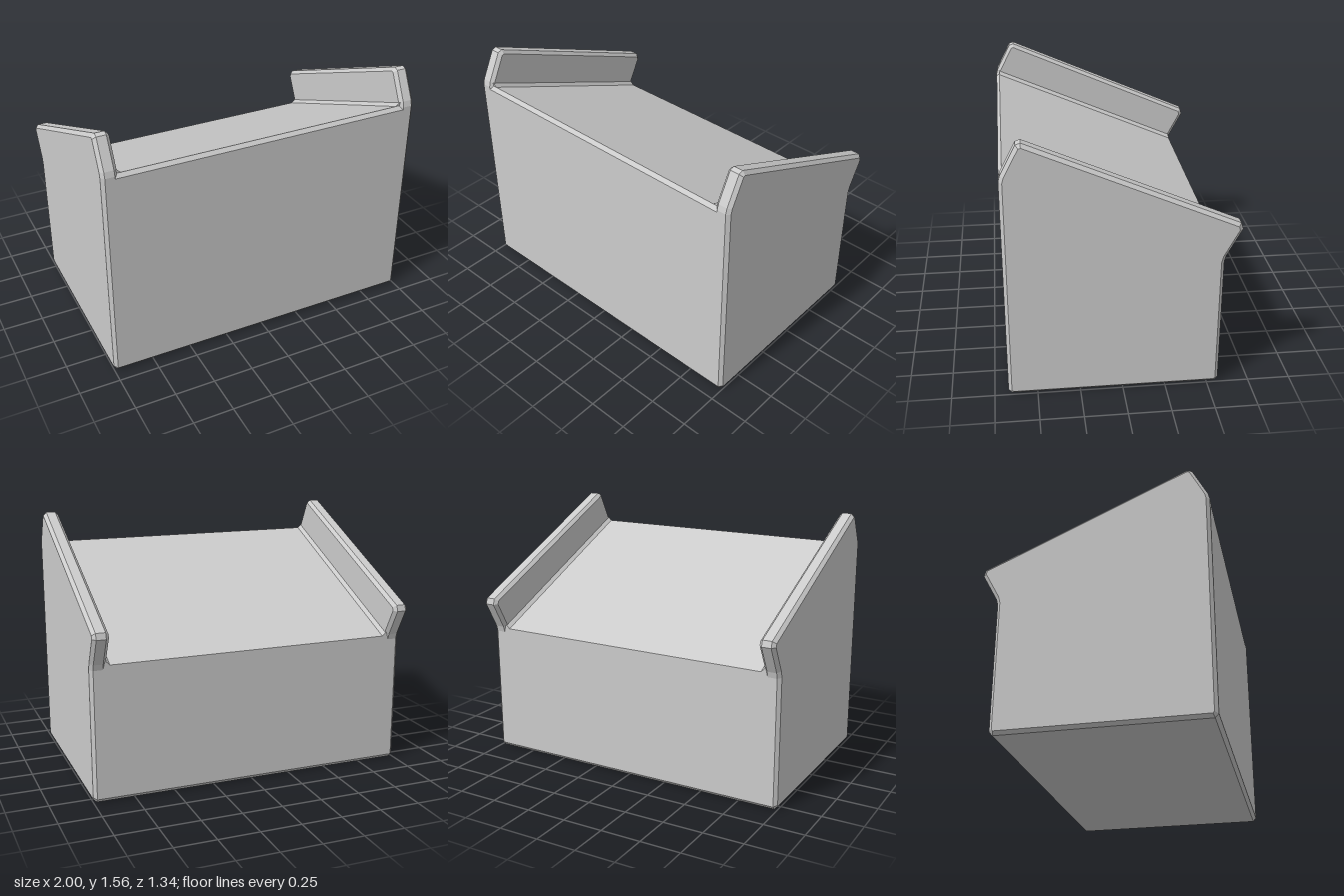
import * as THREE from 'three';

const material = new THREE.MeshStandardMaterial({ color: 0xcccccc, flatShading: true });
const toShape = (points) => new THREE.Shape(points.map(([a, b]) => new THREE.Vector2(a, b)));

// Extrudes a side profile of [z, y] points across x, from x = 0 towards -x
function extrudeAcross(points, options) {
  const geometry = new THREE.ExtrudeGeometry(toShape(points), { steps: 1, ...options });
  return geometry.rotateY(-Math.PI / 2);
}

function addMesh(parent, name, geometry) {
  const mesh = new THREE.Mesh(geometry, material);
  mesh.name = name;
  parent.add(mesh);
  return mesh;
}

export function createModel() {
  const group = new THREE.Group();
  group.name = 'slopedBlock';

  const topFront = { z: 0.65, y: 1.352 };
  const topBack = { z: -0.57, y: 0.825 };

  // Solid core with the sloping top and chamfered front and bottom edges
  const coreProfile = [
    [0.65, 0], [0.67, 0.022], [0.67, 1.33], [topFront.z, topFront.y],
    [topBack.z, topBack.y], [-0.57, 0.022], [-0.55, 0],
  ];
  const core = addMesh(group, 'body', extrudeAcross(coreProfile, { depth: 1.86, bevelEnabled: false }));
  core.position.x = 0.93;

  // Side panels rising above the slope, bevelled all round
  const panelProfile = [
    [0.65, 0], [0.67, 0.022], [0.67, 1.345], [0.661, 1.38], [0.573, 1.55], [0.545, 1.56],
    [-0.655, 1.037], [-0.667, 1.0], [-0.579, 0.835], [-0.57, 0.8], [-0.57, 0.022], [-0.55, 0],
  ];
  const bevel = 0.02;
  const panelWidth = 0.097;
  const panelGeometry = extrudeAcross(panelProfile, {
    depth: panelWidth - 2 * bevel,
    bevelThickness: bevel, bevelSize: bevel, bevelOffset: -bevel, bevelSegments: 1,
  });
  addMesh(group, 'leftPanel', panelGeometry).position.x = 1 - bevel;
  addMesh(group, 'rightPanel', panelGeometry).position.x = -1 + panelWidth - bevel;

  // Small sloping fillets where the panels meet the top
  const slope = (topFront.y - topBack.y) / (topFront.z - topBack.z);
  for (const [side, name] of [[1, 'leftFillet'], [-1, 'rightFillet']]) {
    const section = [[0.882, 0], [0.904, 0.022], [0.915, 0.022], [0.915, -0.02], [0.882, -0.02]];
    const fillet = new THREE.ExtrudeGeometry(
      toShape(section.map(([x, y]) => [side * x, y])),
      { depth: topFront.z - topBack.z, bevelEnabled: false, steps: 1 },
    );
    const p = fillet.attributes.position;
    for (let i = 0; i < p.count; i++) p.setY(i, p.getY(i) + slope * p.getZ(i) + topBack.y);
    fillet.translate(0, 0, topBack.z);
    fillet.computeVertexNormals();
    addMesh(group, name, fillet);
  }

  return group;
}
